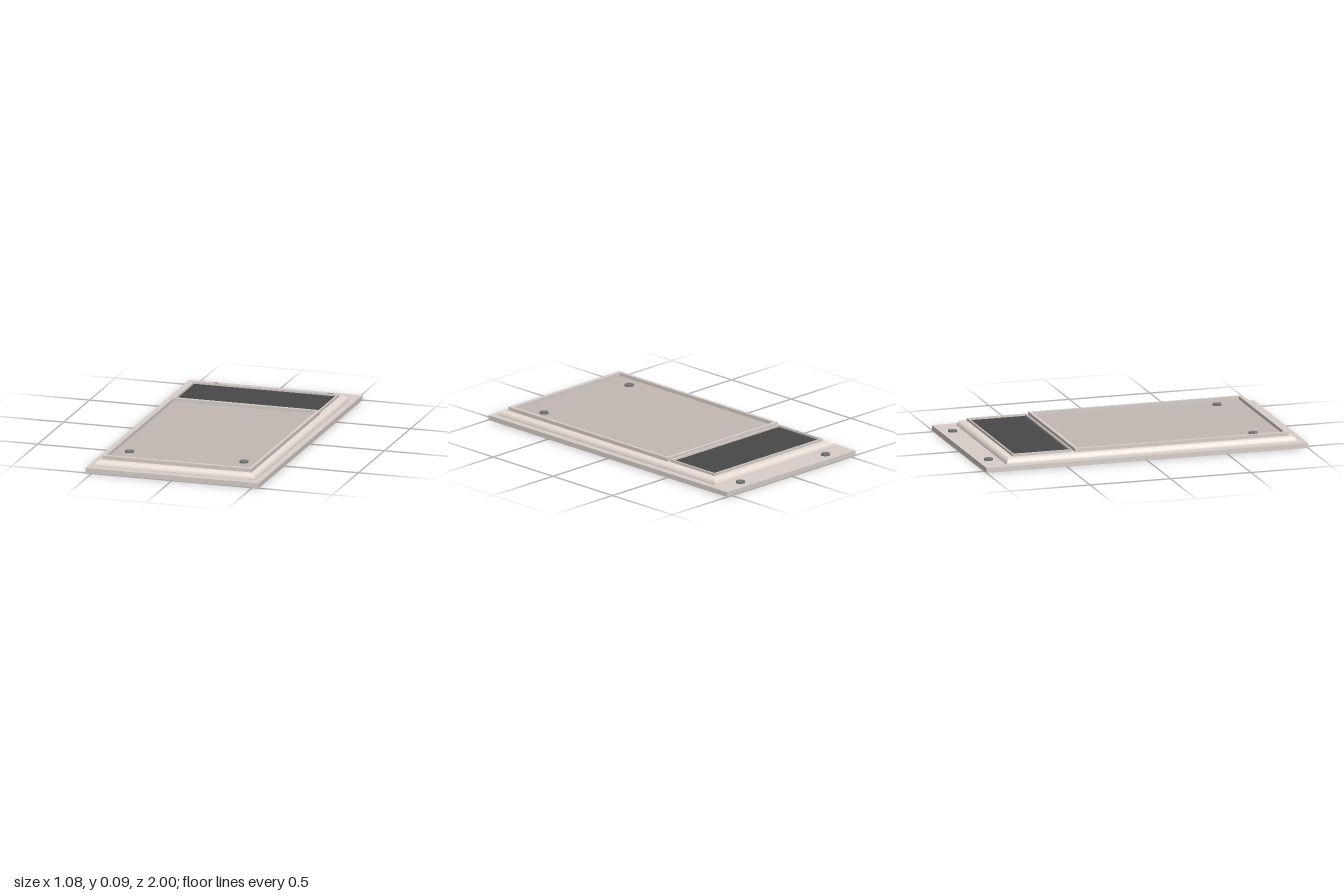
import * as THREE from 'three';
import { toCreasedNormals } from 'three/addons/utils/BufferGeometryUtils.js';

const paint = (color) => new THREE.MeshStandardMaterial({ color });

export function createModel() {
  const group = new THREE.Group();
  const casing = paint(0xd8cec8);
  const trim = paint(0xe8dcd5);
  const panelGrey = paint(0xc2b8b4);
  const glass = paint(0x484848);
  const metal = paint(0x737676);

  const add = (name, geometry, material) => {
    const mesh = new THREE.Mesh(geometry, material);
    mesh.name = name;
    group.add(mesh);
    return mesh;
  };

  // Flat slab, given its half width and its ranges in y and z
  const slab = (name, hw, y0, y1, z0, z1, material) => {
    const mesh = add(name, new THREE.BoxGeometry(2 * hw, y1 - y0, z1 - z0), material);
    mesh.position.set(0, (y0 + y1) / 2, (z0 + z1) / 2);
  };

  // Rectangular rim with an open middle
  const rim = (name, hw, z0, z1, innerHw, innerZ0, innerZ1, y0, y1) => {
    const rect = (path, w, a, b) =>
      path.moveTo(-w, -b).lineTo(w, -b).lineTo(w, -a).lineTo(-w, -a).closePath();
    const shape = rect(new THREE.Shape(), hw, z0, z1);
    shape.holes.push(rect(new THREE.Path(), innerHw, innerZ0, innerZ1));
    const geometry = new THREE.ExtrudeGeometry(shape, { depth: y1 - y0, bevelEnabled: false });
    add(name, geometry.rotateX(-Math.PI / 2).translate(0, y0, 0), casing);
  };

  // Moulding with a quarter-round edge and mitred corners
  const moulding = (hw, z0, z1, y0, radius) => {
    const steps = 10, points = [], faces = [];
    for (let i = 0; i <= steps; i++) {
      const a = (i / steps) * Math.PI / 2;
      const inset = radius * (1 - Math.cos(a)), y = y0 + radius * Math.sin(a);
      const w = hw - inset, back = z0 + inset, front = z1 - inset;
      points.push(-w, y, front, w, y, front, w, y, back, -w, y, back);
    }
    for (let i = 0; i < steps; i++) {
      for (let k = 0; k < 4; k++) {
        const a = i * 4 + k, b = i * 4 + (k + 1) % 4;
        faces.push(a, b, b + 4, a, b + 4, a + 4);
      }
    }
    const t = steps * 4;
    faces.push(t, t + 1, t + 2, t, t + 2, t + 3);
    const geometry = new THREE.BufferGeometry();
    geometry.setAttribute('position', new THREE.Float32BufferAttribute(points, 3));
    geometry.setIndex(faces);
    return toCreasedNormals(geometry, 0.6);
  };

  // Base and raised body
  slab('backPlate', 0.54, 0, 0.03, -1, 1, casing);
  add('moulding', moulding(0.5, -0.86, 0.945, 0.03, 0.035), trim);

  // Large front panel inside its rim
  rim('panelRim', 0.465, -0.425, 0.905, 0.445, -0.405, 0.88, 0.064, 0.087);
  slab('panel', 0.447, 0.06, 0.067, -0.407, 0.882, panelGrey);

  // Dark window inside a thinner rim
  rim('windowRim', 0.455, -0.81, -0.44, 0.445, -0.8, -0.45, 0.064, 0.08);
  slab('window', 0.447, 0.06, 0.068, -0.802, -0.448, glass);

  // Four fixing screws: two on the plate, two on the panel
  for (const [z, y, place] of [[-0.93, 0.03, 'back'], [0.715, 0.066, 'front']]) {
    for (const side of [-1, 1]) {
      const screw = add(place + (side > 0 ? 'LeftScrew' : 'RightScrew'),
        new THREE.CylinderGeometry(0.027, 0.027, 0.01, 32), metal);
      screw.position.set(side * 0.357, y + 0.005, z);
    }
  }

  return group;
}
